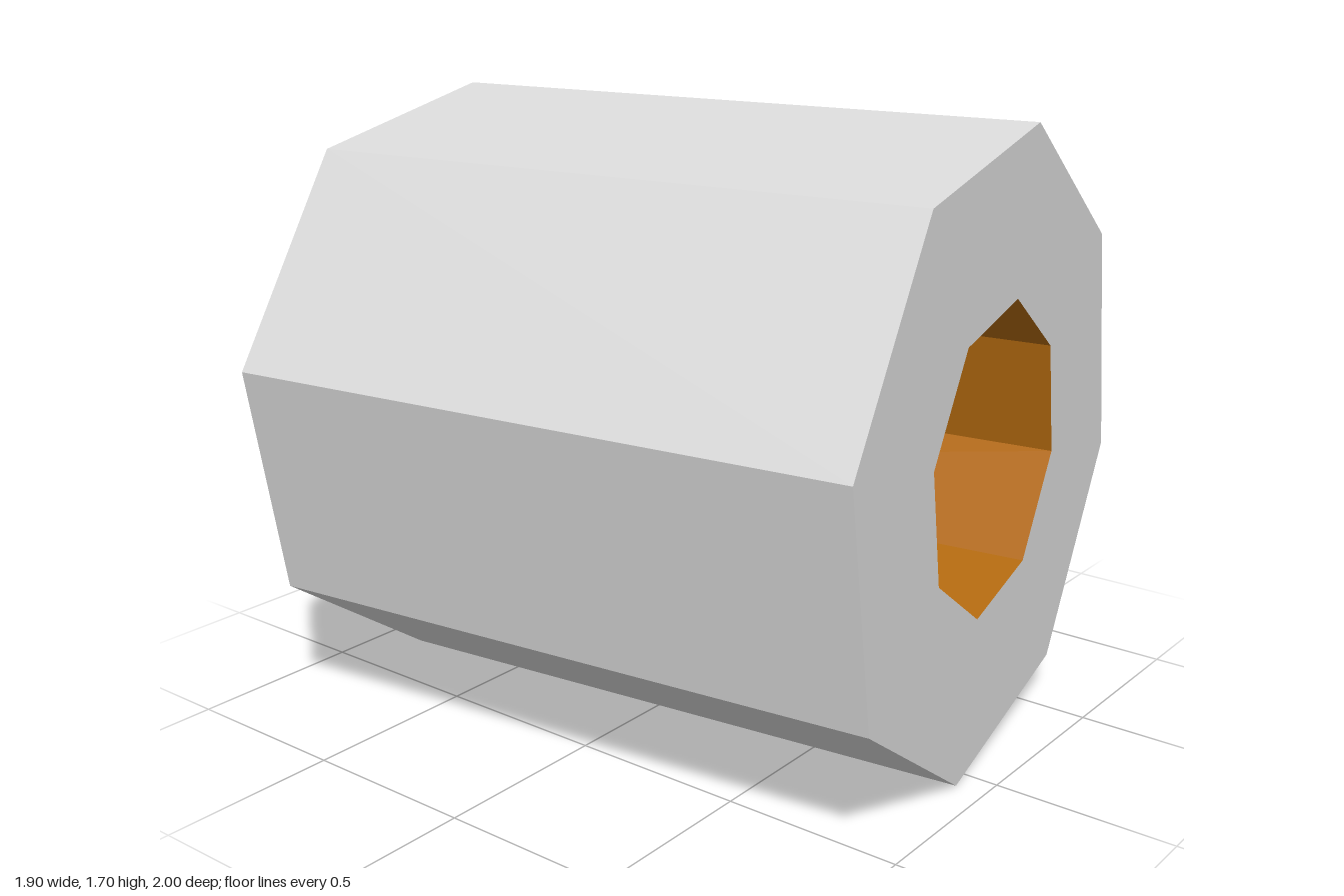
import * as THREE from 'three';

const OUTER = 0.867, BORE = 0.419, LENGTH = 1.804, SIDES = 8;
const ROLL = THREE.MathUtils.degToRad(-12);
const YAW = THREE.MathUtils.degToRad(7);

export function createModel() {
  const lightGrey = new THREE.MeshStandardMaterial({ color: 0xdadada, flatShading: true });
  const orange = new THREE.MeshStandardMaterial({ color: 0xb46a10, flatShading: true, side: THREE.DoubleSide });

  const tube = new THREE.Group();
  tube.name = 'octagonalTube';
  const add = (name, geometry, material) => {
    const mesh = new THREE.Mesh(geometry, material);
    mesh.name = name;
    tube.add(mesh);
  };

  // Open eight-sided wall running along z
  const wall = (radius) =>
    new THREE.CylinderGeometry(radius, radius, LENGTH, SIDES, 1, true).rotateX(Math.PI / 2).rotateZ(ROLL);
  // Flat eight-sided ring facing +z
  const ring = () => new THREE.RingGeometry(BORE, OUTER, SIDES, 1).rotateZ(ROLL);

  add('outerWall', wall(OUTER), lightGrey);
  add('boreWall', wall(BORE), orange);
  add('frontRing', ring().translate(0, 0, LENGTH / 2), lightGrey);
  // Mirrored roll keeps the corners aligned once the ring is turned to the back
  add('backRing', ring().rotateZ(-2 * ROLL).rotateY(Math.PI).translate(0, 0, -LENGTH / 2), lightGrey);

  // Rest the lowest edge on the ground and turn the tube slightly
  tube.position.y = OUTER * Math.cos(ROLL);
  tube.rotation.y = YAW;

  const model = new THREE.Group();
  model.name = 'model';
  model.add(tube);
  return model;
}
